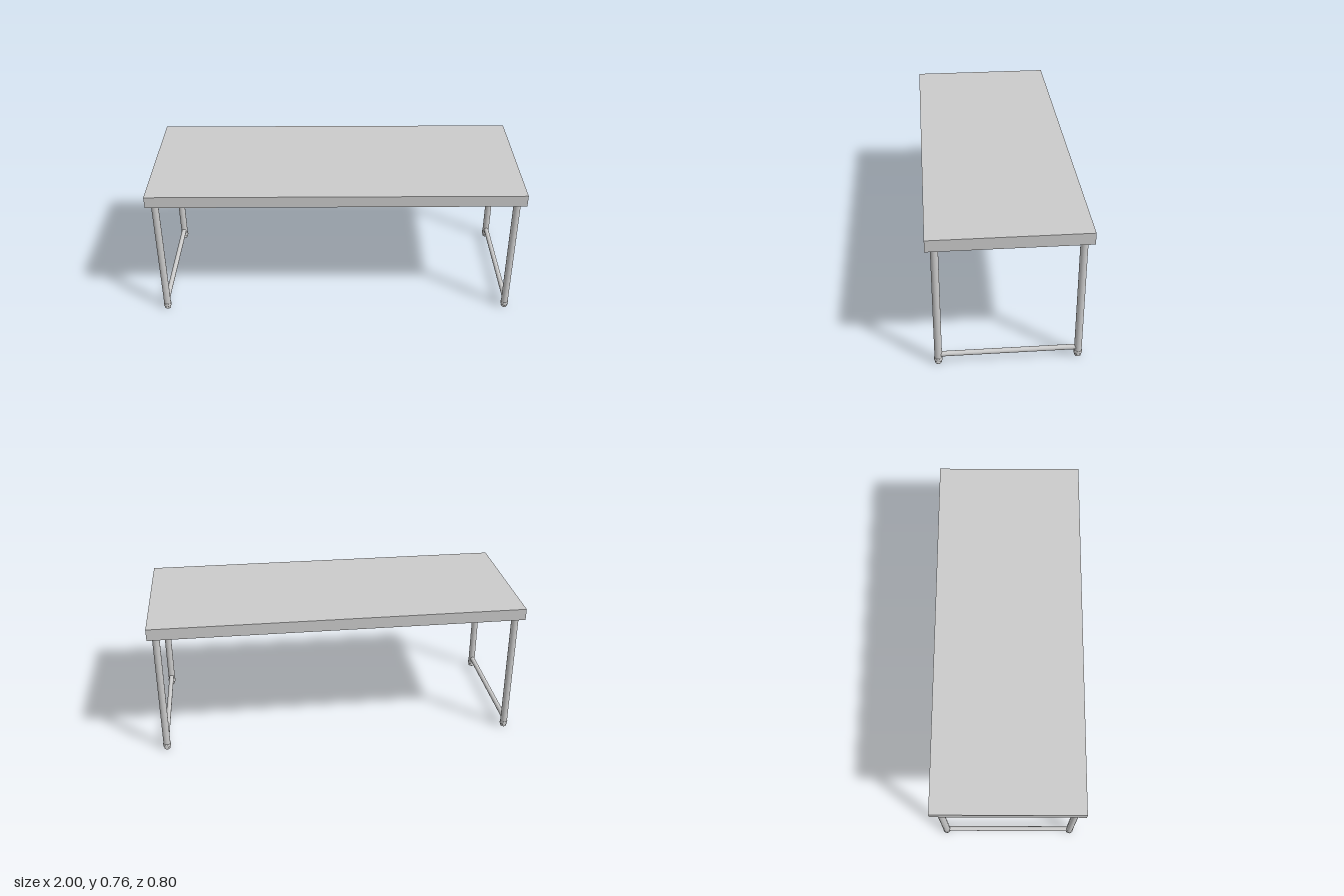
import * as THREE from 'three';
import { toCreasedNormals } from 'three/addons/utils/BufferGeometryUtils.js';

const LEG_X = 0.957, LEG_Z = 0.355, LEG_R = 0.019;
const TOP_Y = 0.76, TOP_THICK = 0.063;

export function createModel() {
  const group = new THREE.Group();
  const material = new THREE.MeshStandardMaterial({ color: 0xcccccc });

  function add(parent, name, geometry, x, y, z) {
    const mesh = new THREE.Mesh(geometry, material);
    mesh.name = name;
    mesh.position.set(x, y, z);
    parent.add(mesh);
    return mesh;
  }

  // Thick rectangular table top
  add(group, 'tableTop', new THREE.BoxGeometry(2, TOP_THICK, 0.8), 0, TOP_Y - TOP_THICK / 2, 0);

  // Tubular leg, and a foot with a collar above a narrow glide
  const legBottom = 0.03, legTop = TOP_Y - TOP_THICK;
  const legGeometry = new THREE.CylinderGeometry(LEG_R, LEG_R, legTop - legBottom, 32);
  const footProfile = [
    [0, 0], [0.0155, 0], [0.017, 0.002], [0.017, 0.011], [0.016, 0.013],
    [0.019, 0.014], [0.021, 0.017], [0.021, 0.031], [0.019, 0.034], [0, 0.034],
  ].map(([r, y]) => new THREE.Vector2(r, y));
  const footGeometry = toCreasedNormals(new THREE.LatheGeometry(footProfile, 32), 0.5);

  // Low rail joining the two legs at each end
  const railGeometry = new THREE.CylinderGeometry(0.0135, 0.0135, LEG_Z * 2, 24);
  railGeometry.rotateX(Math.PI / 2);

  for (const sx of [1, -1]) {
    const frame = new THREE.Group();
    frame.name = sx > 0 ? 'leftFrame' : 'rightFrame';
    frame.position.x = sx * LEG_X;
    group.add(frame);
    for (const sz of [1, -1]) {
      const end = sz > 0 ? 'front' : 'back';
      add(frame, end + 'Leg', legGeometry, 0, (legBottom + legTop) / 2, sz * LEG_Z);
      add(frame, end + 'Foot', footGeometry, 0, 0, sz * LEG_Z);
    }
    add(frame, 'rail', railGeometry, 0, 0.052, 0);
  }
  return group;
}
